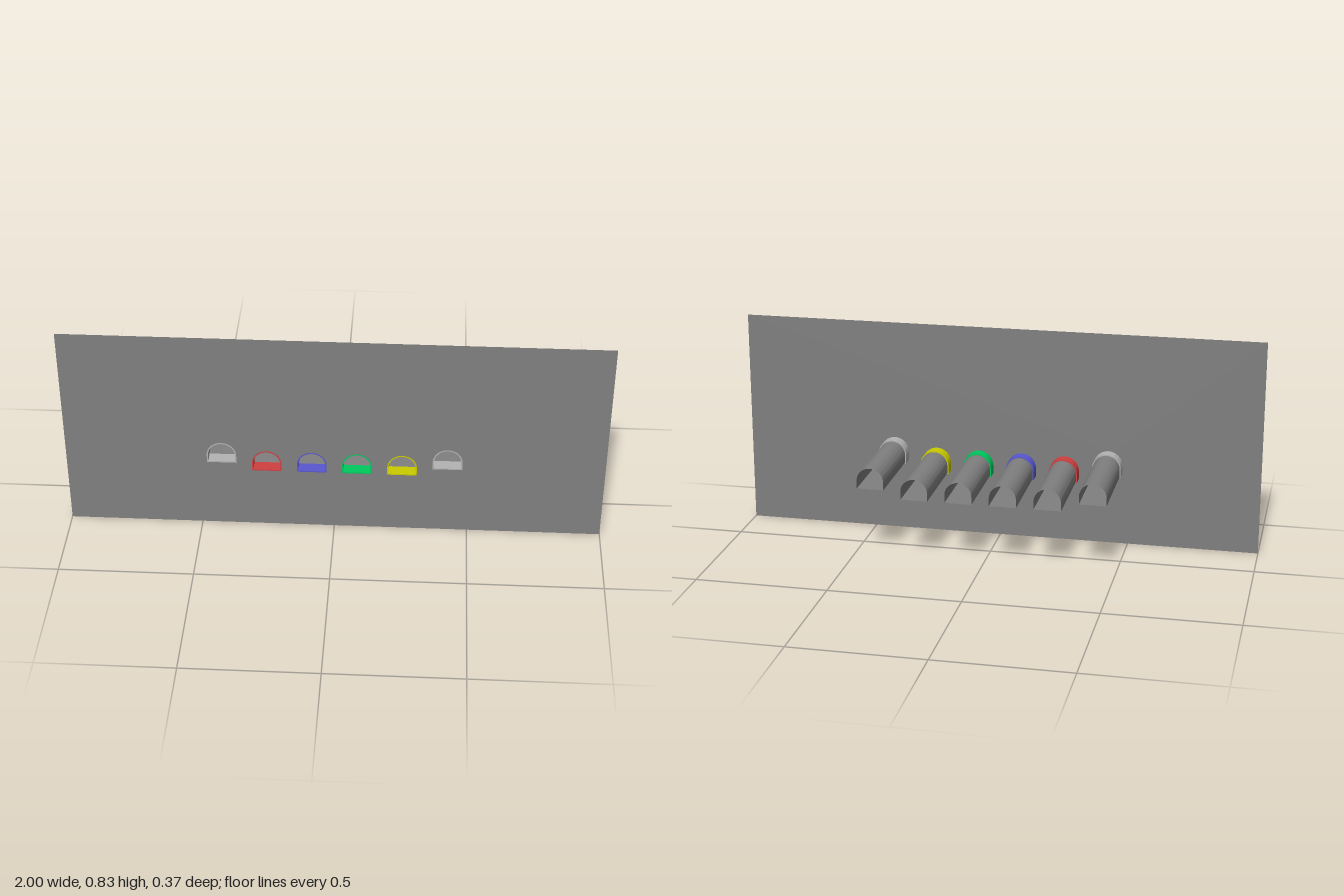
import * as THREE from 'three';
import { toCreasedNormals } from 'three/addons/utils/BufferGeometryUtils.js';

const FRONT = 0.187, BACK = -0.187, COLLAR = 0.046;
const R = 0.051, SIDE = 0.03; // tunnel arch radius and straight side height

// Closed arch outline, grown outward by `grow`, with its floor at y
function archPoints(x, y, grow) {
  const r = R + grow, pts = [[x - r, y - grow], [x + r, y - grow]];
  for (let i = 0; i <= 24; i++) {
    const a = Math.PI * i / 24;
    pts.push([x + r * Math.cos(a), y + SIDE + r * Math.sin(a)]);
  }
  return pts.map(p => new THREE.Vector2(p[0], p[1]));
}

// Open-ended single-skin tube swept straight along z
function tunnelGeometry(pts, z0, z1) {
  const pos = [], n = pts.length;
  for (let i = 0; i < n; i++) {
    const a = pts[i], b = pts[(i + 1) % n];
    pos.push(a.x, a.y, z0, b.x, b.y, z0, b.x, b.y, z1);
    pos.push(a.x, a.y, z0, b.x, b.y, z1, a.x, a.y, z1);
  }
  const g = new THREE.BufferGeometry();
  g.setAttribute('position', new THREE.Float32BufferAttribute(pos, 3));
  return toCreasedNormals(g, 0.6);
}

export function createModel() {
  const model = new THREE.Group();
  model.name = 'wallWithTunnels';

  const mat = (name, color, side = THREE.FrontSide) => {
    const m = new THREE.MeshStandardMaterial({ color, side });
    m.name = name;
    return m;
  };
  const stone = mat('midGrey', 0x808080, THREE.DoubleSide);
  const silver = mat('lightGrey', 0xb4b4b4);
  const collars = [
    silver,
    mat('red', 0xd04040),
    mat('blue', 0x5a58d0),
    mat('green', 0x00c85e),
    mat('yellow', 0xcccc00),
    silver,
  ];

  const add = (name, geometry, material, parent = model) => {
    const mesh = new THREE.Mesh(geometry, material);
    mesh.name = name;
    parent.add(mesh);
  };

  // Wall sheet, pierced by each tunnel mouth
  const wall = new THREE.Shape();
  wall.moveTo(-1, 0).lineTo(1, 0).lineTo(1, 0.83).lineTo(-1, 0.83).closePath();

  collars.forEach((colour, i) => {
    const x = (i - 2.5) * 0.1675;
    const y = i === 0 || i === 5 ? 0.285 : 0.253; // outer pair sits higher
    const outer = archPoints(x, y, 0.004);
    wall.holes.push(new THREE.Path(outer));

    const unit = new THREE.Group();
    unit.name = 'tunnelUnit' + (i + 1);
    model.add(unit);

    // Long open tunnel behind the wall
    add('tunnel', tunnelGeometry(archPoints(x, y, 0), BACK, FRONT - COLLAR), stone, unit);

    // Coloured collar around the mouth, flush with the wall
    const ring = new THREE.Shape(outer);
    ring.holes.push(new THREE.Path(archPoints(x, y, -0.001)));
    const g = new THREE.ExtrudeGeometry(ring, { depth: COLLAR, bevelEnabled: false });
    g.translate(0, 0, FRONT - COLLAR);
    add('collar', toCreasedNormals(g, 0.6), colour, unit);
  });

  const wallGeometry = new THREE.ShapeGeometry(wall);
  wallGeometry.translate(0, 0, FRONT);
  add('wall', wallGeometry, stone);
  return model;
}
